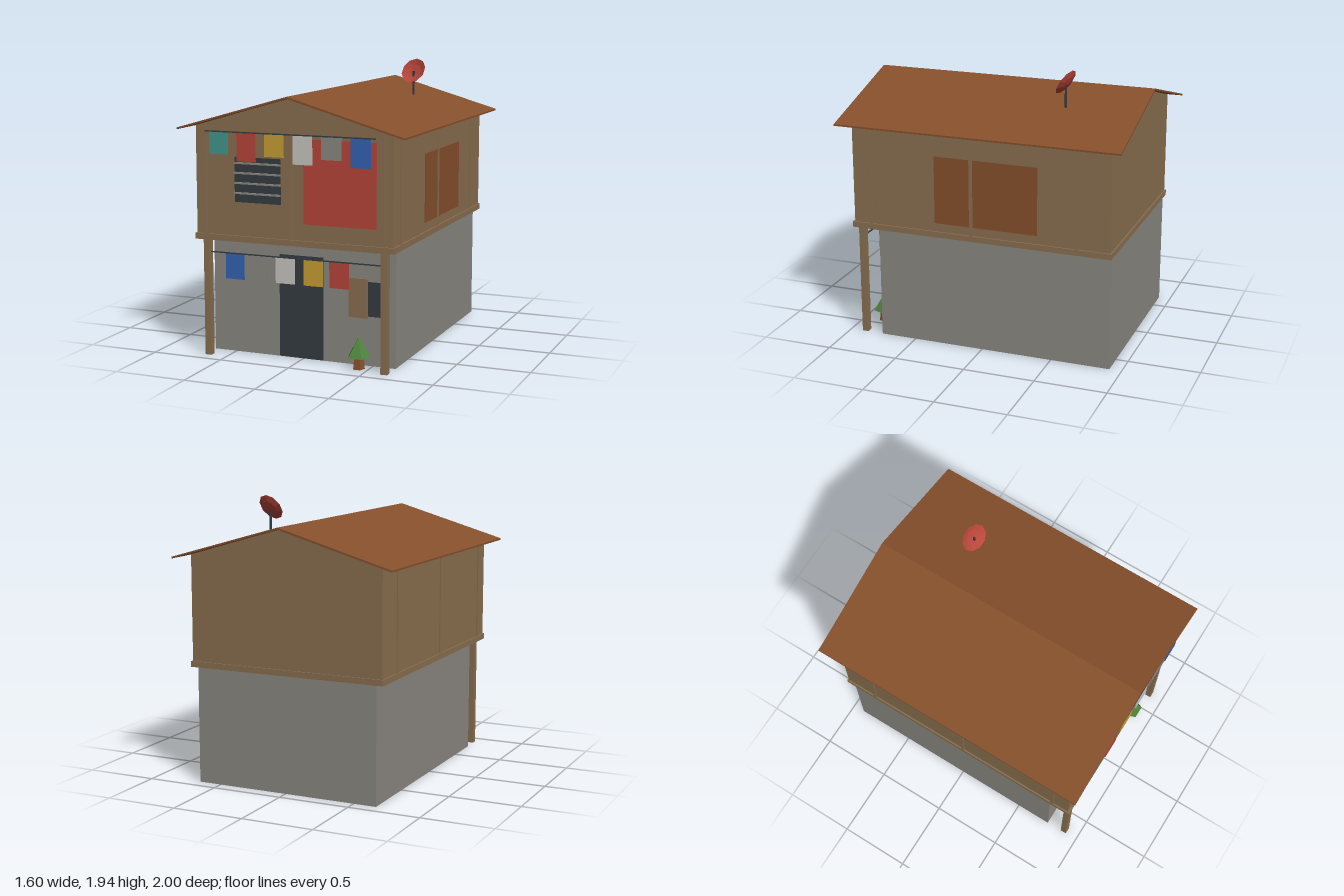
import * as THREE from 'three';

const mat = (name, color, extra = {}) => {
  const m = new THREE.MeshStandardMaterial({ color, ...extra });
  m.name = name;
  return m;
};

export function createModel() {
  const wood = mat('wood', 0x8b7050);
  const rust = mat('rustBrown', 0x87502c, { flatShading: true });
  const grey = mat('concreteGrey', 0x8c8983);
  const dark = mat('darkSlate', 0x363c43);
  const red = mat('red', 0xb8463b, { flatShading: true, side: THREE.DoubleSide });
  const yellow = mat('yellow', 0xc9a034);
  const white = mat('offWhite', 0xcac8c2);
  const blue = mat('blue', 0x3463b5);
  const teal = mat('teal', 0x42998f);
  const green = mat('leafGreen', 0x4f853c, { flatShading: true });

  const model = new THREE.Group();
  model.name = 'house';

  const add = (name, geometry, material, x = 0, y = 0, z = 0, parent = model) => {
    const mesh = new THREE.Mesh(geometry, material);
    mesh.name = name;
    mesh.position.set(x, y, z);
    parent.add(mesh);
    return mesh;
  };
  // Box given by its limits on each axis
  const box = (name, material, [x0, x1], [y0, y1], [z0, z1], parent = model) =>
    add(name, new THREE.BoxGeometry(x1 - x0, y1 - y0, z1 - z0), material,
      (x0 + x1) / 2, (y0 + y1) / 2, (z0 + z1) / 2, parent);
  // Prism along z from an outline in x and y
  const prism = (name, material, points, z0, z1) => {
    const shape = new THREE.Shape(points.map(([x, y]) => new THREE.Vector2(x, y)));
    const geometry = new THREE.ExtrudeGeometry(shape, { depth: z1 - z0, bevelEnabled: false });
    return add(name, geometry, material, 0, 0, z0);
  };

  // Storeys
  box('groundFloor', grey, [-0.66, 0.66], [0, 0.8], [-0.915, 0.755]);
  box('floorSlab', wood, [-0.71, 0.71], [0.8, 0.84], [-0.925, 0.93]);
  prism('upperWalls', wood,
    [[-0.7, 0.83], [0.7, 0.83], [0.7, 1.565], [0, 1.77], [-0.7, 1.565]], -0.915, 0.917);

  // Gabled roof
  prism('roof', rust,
    [[-0.8, 1.54], [0, 1.768], [0.8, 1.54], [0.8, 1.552], [0, 1.782], [-0.8, 1.552]], -1, 1);

  // Porch posts
  for (const side of [-1, 1]) {
    const x = side * 0.635;
    box('porchPost', wood, [x - 0.023, x + 0.023], [0, 0.81], [0.868, 0.912]);
  }

  // Wall battens on the front and both sides
  for (const x of [-0.633, -0.016, 0.633]) {
    box('frontBatten', wood, [x - 0.012, x + 0.012], [0.84, 1.57], [0.91, 0.926]);
  }
  for (const side of [-1, 1]) {
    for (const z of [0.79, 0.055, -0.683]) {
      add('sideBatten', new THREE.BoxGeometry(0.016, 0.715, 0.024), wood, side * 0.701, 1.1975, z);
    }
  }

  // Upper openings
  box('redPanel', red, [0.08, 0.585], [0.95, 1.505], [0.915, 0.922]);
  box('upperWindow', dark, [-0.415, -0.083], [1.067, 1.367], [0.915, 0.922]);
  for (const y of [1.328, 1.262, 1.195, 1.128]) {
    box('windowBar', grey, [-0.415, -0.083], [y - 0.006, y + 0.006], [0.922, 0.934]);
  }
  box('sideShutters', rust, [0.697, 0.704], [0.9, 1.37], [-0.412, 0.318]);

  // Ground floor openings
  box('door', dark, [-0.17, 0.147], [0.002, 0.703], [0.753, 0.76]);
  box('lowerWindow', dark, [0.41, 0.583], [0.335, 0.567], [0.753, 0.76]);
  box('windowShutter', wood, [0.333, 0.466], [0.322, 0.586], [0.754, 0.768]);

  // Clotheslines; each cloth is [centre x, length, material]
  const clothesline = (name, halfWidth, y, z, cloths) => {
    const group = new THREE.Group();
    group.name = name;
    model.add(group);
    box('line', dark, [-halfWidth, halfWidth], [y - 0.004, y + 0.004], [z - 0.004, z + 0.004], group);
    for (const [x, length, material] of cloths) {
      box('cloth', material, [x - 0.068, x + 0.068], [y - length, y], [z - 0.003, z + 0.003], group);
    }
  };
  clothesline('upperClothesline', 0.6, 1.537, 0.98, [
    [-0.5, 0.15, teal], [-0.3, 0.19, red], [-0.1, 0.15, yellow],
    [0.1, 0.19, white], [0.3, 0.15, grey], [0.5, 0.19, blue],
  ]);
  clothesline('lowerClothesline', 0.615, 0.712, 0.89, [
    [-0.435, 0.175, blue], [-0.25, 0.175, grey], [-0.068, 0.175, white],
    [0.132, 0.175, yellow], [0.316, 0.175, red],
  ]);

  // Small tree
  const tree = new THREE.Group();
  tree.name = 'tree';
  tree.position.set(0.432, 0, 0.84);
  tree.rotation.y = Math.PI;
  model.add(tree);
  add('trunk', new THREE.CylinderGeometry(0.03, 0.042, 0.1, 5), rust, 0, 0.05, 0, tree);
  add('foliage', new THREE.ConeGeometry(0.08, 0.135, 5), green, 0, 0.148, 0, tree);

  // Rooftop dish, facing forward and up
  add('dishPole', new THREE.CylinderGeometry(0.008, 0.008, 0.17, 6), dark, 0.332, 1.77, -0.48);
  const profile = [[0, -0.012], [0.055, -0.004], [0.097, 0.012]].map(p => new THREE.Vector2(...p));
  const dish = add('dish', new THREE.LatheGeometry(profile, 10), red, 0.332, 1.853, -0.488);
  dish.rotation.order = 'YXZ';
  dish.rotation.set(Math.PI / 2 - 0.53, -0.25, 0);

  return model;
}
